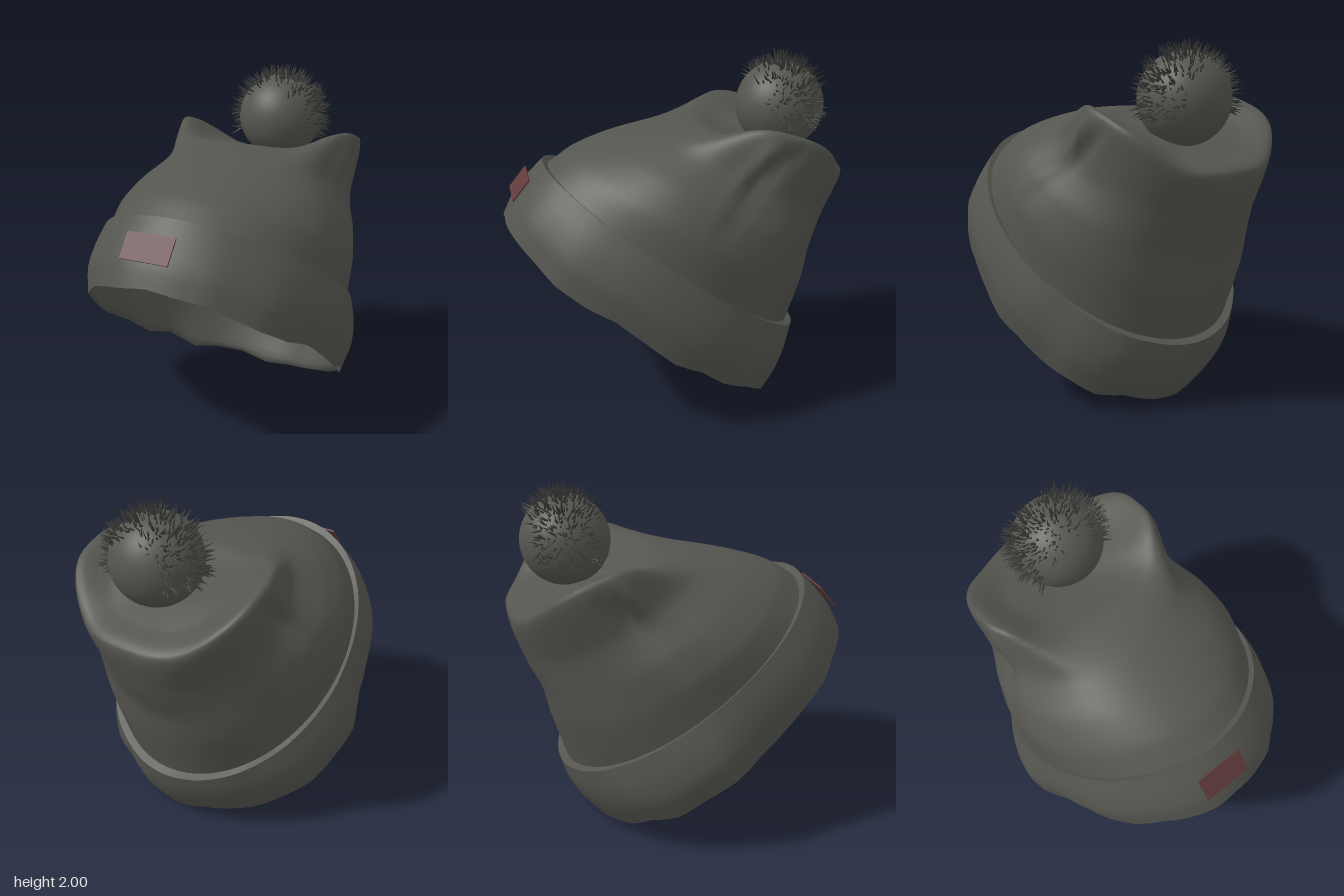
import * as THREE from 'three';
import { mergeGeometries } from 'three/addons/utils/BufferGeometryUtils.js';

const material = (name, color, side = THREE.FrontSide) => {
  const m = new THREE.MeshStandardMaterial({ color, side });
  m.name = name;
  return m;
};

function seeded(seed) {
  return () => {
    seed = (seed * 16807) % 2147483647;
    return seed / 2147483647;
  };
}

const AROUND = 90;

// Skin a stack of tilted rings.
// Row: [front z, front y, back z, back y, half width, roundness, ear height]
function loft(rows, steps, shape) {
  const curve = (f) => new THREE.CatmullRomCurve3(rows.map(f), false, 'catmullrom', 0.4);
  const front = curve((r) => new THREE.Vector3(0, r[1], r[0]));
  const back = curve((r) => new THREE.Vector3(0, r[3], r[2]));
  const form = curve((r) => new THREE.Vector3(r[4], r[5], r[6]));
  const positions = [], index = [];
  for (let j = 0; j <= steps; j++) {
    const v = j / steps;
    const f = front.getPoint(v), b = back.getPoint(v), s = form.getPoint(v);
    const mid = f.clone().add(b).multiplyScalar(0.5);
    const half = f.clone().sub(b).multiplyScalar(0.5);
    for (let i = 0; i < AROUND; i++) {
      const a = (i / AROUND) * Math.PI * 2;
      const sn = Math.sin(a), cs = Math.cos(a);
      const power = (c) => Math.sign(c) * Math.pow(Math.abs(c), s.y);
      const p = mid.clone().addScaledVector(half, power(cs));
      p.x = s.x * power(sn) + Math.sign(sn) * s.z * 0.35 * Math.pow(Math.abs(sn), 9);
      p.y += s.z * Math.pow(Math.abs(sn), 3.5);
      shape(p, a, v, mid);
      positions.push(p.x, p.y, p.z);
      if (j < steps) {
        const k = (i + 1) % AROUND, r = j * AROUND, n = r + AROUND;
        index.push(r + i, r + k, n + k, r + i, n + k, n + i);
      }
    }
  }
  const g = new THREE.BufferGeometry();
  g.setAttribute('position', new THREE.Float32BufferAttribute(positions, 3));
  g.setIndex(index);
  g.computeVertexNormals();
  return g;
}

export function createModel() {
  const hat = new THREE.Group();
  hat.name = 'bobbleHat';
  const wool = material('charcoal wool', 0x555550, THREE.DoubleSide);
  const dark = material('dark fur', 0x3a3b38);
  const red = material('dull red', 0x603b3b);
  const add = (name, geometry, mat) => {
    const mesh = new THREE.Mesh(geometry, mat);
    mesh.name = name;
    hat.add(mesh);
    return mesh;
  };

  // Crumple: shared by all layers so they meet at the lower edge; the opening
  // narrows towards the front, the sides sag, the front stays flat for the patch
  const rand = seeded(71);
  const count = 30;
  const noise = () => Array.from({ length: count }, () => rand() - 0.5);
  const dents = noise(), drops = noise();
  const sample = (list, a) => {
    const t = (a / (Math.PI * 2)) * count;
    const i = Math.floor(t) % count;
    return THREE.MathUtils.lerp(list[i], list[(i + 1) % count], t - Math.floor(t));
  };
  const crumple = (amount) => (p, a, v, mid) => {
    const k = amount(v);
    const loose = k * (1 - 0.75 * THREE.MathUtils.smoothstep(Math.cos(a), 0.86, 0.98));
    const scale = 1 + 0.1 * loose * sample(dents, a);
    p.x *= scale * (1 - 0.09 * k * Math.cos(a));
    p.z = mid.z + (p.z - mid.z) * scale;
    p.y += 0.06 * loose * sample(drops, a) - 0.045 * k * k * Math.pow(Math.sin(a), 2);
  };

  // Cuff: turned up around the crown, rolling in at the lower edge
  const cuffRows = [
    [0.72, 1.40, -0.735, 0.36, 0.715, 1, 0],
    [0.82, 1.30, -0.70, 0.25, 0.755, 1, 0],
    [0.90, 1.20, -0.64, 0.14, 0.77, 1, 0],
    [0.955, 1.09, -0.55, 0.02, 0.735, 1, 0],
  ];
  add('cuff', loft(cuffRows, 9, crumple((v) => 0.1 + 0.9 * v)), wool);

  // Cuff rim: narrow lip closing the cuff against the crown
  const seam = [0.69, 1.37, -0.695, 0.38, 0.69, 1, 0];
  add('cuffRim', loft([cuffRows[0], seam], 1, crumple((v) => 0.1 * (1 - v))), wool);

  // Lining: folded in from the lower edge up to the crown
  add('lining', loft([
    cuffRows[3],
    [0.90, 1.08, -0.55, 0.06, 0.71, 1, 0],
    [0.80, 1.21, -0.63, 0.20, 0.70, 1, 0],
    seam,
  ], 9, crumple((v) => 1 - v)), wool);

  // Crown: slouches backwards, with two pinched ears and a sunken top
  const crownRows = [
    seam,
    [0.55, 1.455, -0.78, 0.65, 0.69, 1, 0],
    [0.35, 1.52, -0.82, 0.85, 0.64, 0.95, 0],
    [0.10, 1.575, -0.90, 1.05, 0.54, 0.9, 0.02],
    [-0.15, 1.59, -0.97, 1.31, 0.49, 0.72, 0.16],
    [-0.30, 1.54, -0.82, 1.38, 0.33, 0.85, 0.06],
    [-0.55, 1.46, -0.66, 1.44, 0.04, 1, 0],
  ];
  // Diagonal tuck running down and forwards from each ear
  const start = new THREE.Vector2(-0.52, 1.52), end = new THREE.Vector2(-0.12, 1.12);
  const along = end.clone().sub(start), length = along.length();
  along.normalize();
  add('crown', loft(crownRows, 48, (p, a, v) => {
    if (v < 0.68 && Math.abs(p.x) > 0.25) {
      const q = new THREE.Vector2(p.z, p.y).sub(start);
      const t = q.dot(along) / length;
      const d = q.cross(along);
      const fade = THREE.MathUtils.clamp(1.1 - t, 0, 1) * THREE.MathUtils.clamp(t * 4 + 0.5, 0, 1);
      const tuck = 0.05 * Math.exp(-Math.pow(d / 0.035, 2)) - 0.03 * Math.exp(-Math.pow((d + 0.07) / 0.05, 2));
      p.x -= Math.sign(p.x) * tuck * fade;
    }
    // Loose slack in the cloth
    const slack = 0.012 * Math.sin(v * Math.PI) * Math.sin(a * 5 + v * 6 + 1);
    p.x += slack * Math.sin(a);
    p.z += slack * Math.cos(a);
  }), wool);

  // Patch on the front of the cuff
  const patch = add('patch', new THREE.BoxGeometry(0.28, 0.15, 0.009), red);
  patch.position.set(-0.04, 1.272, 0.852);
  patch.rotation.x = -0.68;

  // Bobble
  const centre = new THREE.Vector3(0.04, 1.67, -0.635);
  const radius = 0.25;
  add('bobble', new THREE.SphereGeometry(radius, 40, 28), wool).position.copy(centre);

  // Fur: tufts standing in a band over the bobble from side to side
  const tufts = [];
  const up = new THREE.Vector3(0, 1, 0);
  while (tufts.length < 560) {
    const angle = -0.4 + rand() * (Math.PI + 0.8);
    const lean = (rand() + rand() + rand() - 1.5) * 0.75 - 0.15;
    const dir = new THREE.Vector3(Math.cos(angle), Math.sin(angle), lean).normalize();
    const tall = 0.04 + rand() * 0.05;
    const tuft = new THREE.ConeGeometry(0.005 + rand() * 0.003, tall, 4, 1, true);
    tuft.translate(0, tall / 2 - 0.008, 0);
    const tilt = dir.clone().add(new THREE.Vector3(rand() - 0.5, rand() - 0.5, rand() - 0.5).multiplyScalar(0.6));
    tuft.applyQuaternion(new THREE.Quaternion().setFromUnitVectors(up, tilt.normalize()));
    const root = centre.clone().addScaledVector(dir, radius);
    tuft.translate(root.x, root.y, root.z);
    tufts.push(tuft);
  }
  add('bobbleFur', mergeGeometries(tufts), dark);

  return hat;
}
